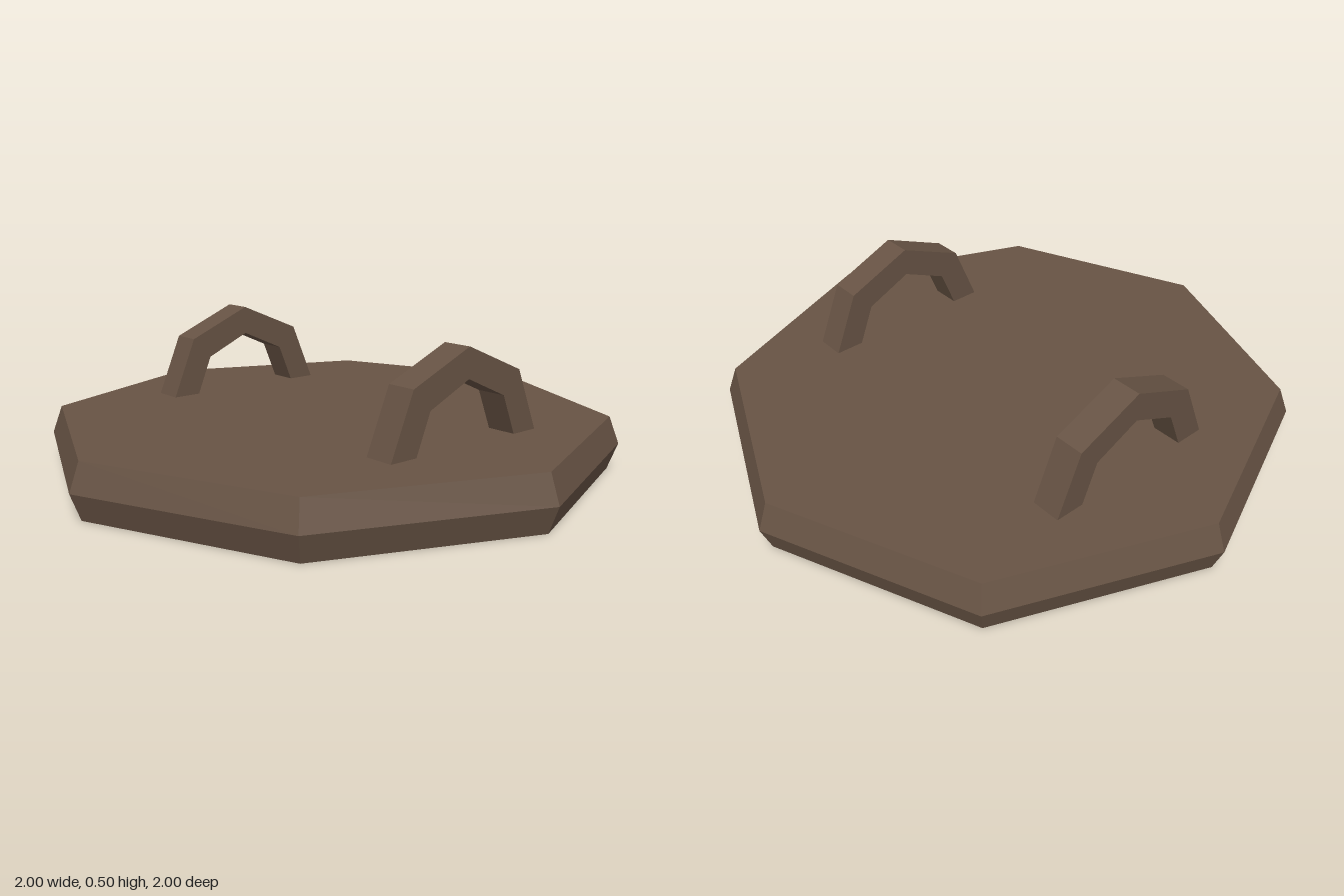
import * as THREE from 'three';

export function createModel() {
  const group = new THREE.Group();
  const wood = new THREE.MeshStandardMaterial({ color: 0x675344, flatShading: true });
  wood.name = 'dark brown wood';

  // Octagonal lid with a ridge around the middle of its rim
  const profile = [[0, 0], [0.965, 0], [1, 0.09], [0.965, 0.185], [0, 0.185]]
    .map(([r, y]) => new THREE.Vector2(r, y));
  const lid = new THREE.Mesh(new THREE.LatheGeometry(profile, 8), wood);
  lid.name = 'lid';
  group.add(lid);

  // Faceted arch handles, drawn from the side and extruded across x
  const centreZ = -0.027;
  const arch = new THREE.Shape([
    [-0.325, 0.183], [-0.236, 0.395], [0, 0.495], [0.236, 0.395], [0.325, 0.183],
    [0.221, 0.183], [0.165, 0.32], [0, 0.394], [-0.165, 0.32], [-0.221, 0.183],
  ].map(([u, y]) => new THREE.Vector2(u, y)));
  const width = 0.104;
  const handleGeometry = new THREE.ExtrudeGeometry(arch, { depth: width, bevelEnabled: false });
  handleGeometry.translate(0, 0, -width / 2).rotateY(Math.PI / 2);
  for (const [name, x] of [['rightHandle', -0.588], ['leftHandle', 0.57]]) {
    const handle = new THREE.Mesh(handleGeometry, wood);
    handle.name = name;
    handle.position.set(x, 0, centreZ);
    group.add(handle);
  }
  return group;
}
